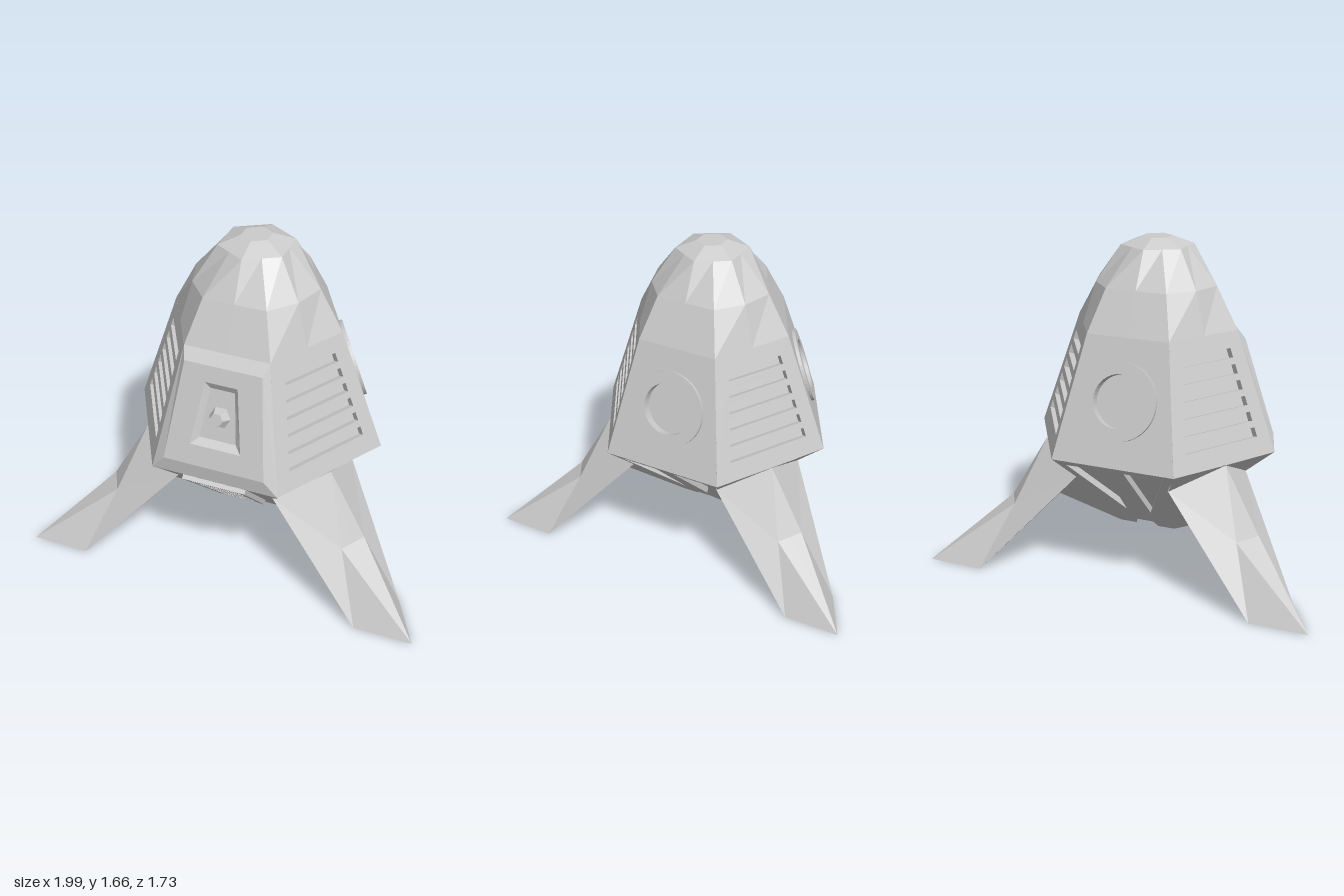
import * as THREE from 'three';

const material = new THREE.MeshStandardMaterial({ color: 0xcccccc, flatShading: true });
const AXIS_Z = 0.29, WAIST_Y = 0.64, APOTHEM = 0.545;
const UPPER_TILT = -Math.atan(0.181 / 0.595);   // hull walls lean in going up
const LOWER_TILT = Math.PI / 4;                 // belly plates lean in going down

function mesh(name, geometry) {
  const m = new THREE.Mesh(geometry, material);
  m.name = name;
  return m;
}

function outline(points, Type = THREE.Shape) {
  return new Type(points.map(([x, y]) => new THREE.Vector2(x, y)));
}

// Symmetric four-cornered outline: half widths w0 at v0 and w1 at v1
const trapezoid = (w0, v0, w1, v1) => [[-w0, v0], [w0, v0], [w1, v1], [-w1, v1]];

function circle(Type, radius, v) {
  const path = new Type();
  path.absarc(0, v, radius, 0, Math.PI * 2);
  return path;
}

// Extruded plate whose local z runs from zBack to zFront
function plate(name, shape, holes, zBack, zFront) {
  shape.holes.push(...holes);
  const geo = new THREE.ExtrudeGeometry(shape, { depth: zFront - zBack, bevelEnabled: false, curveSegments: 24 });
  geo.translate(0, 0, zBack);
  return mesh(name, geo);
}

// Wall with cut-outs, backed by a recessed floor
function recessedWall(name, points, holes) {
  const g = new THREE.Group();
  g.name = name;
  const floor = mesh(name + 'Floor', new THREE.ShapeGeometry(outline(points)));
  floor.position.z = -0.03;
  g.add(plate(name + 'Plate', outline(points), holes, -0.04, 0), floor);
  return g;
}

function triangles(list) {
  const geo = new THREE.BufferGeometry();
  geo.setAttribute('position', new THREE.Float32BufferAttribute(list.flat(), 3));
  geo.computeVertexNormals();
  return geo;
}

// Skin over matching loops of points, closed by a cap on the last loop
function loft(rings) {
  const list = [], n = rings[0].length;
  for (let i = 0; i < rings.length - 1; i++) {
    for (let j = 0; j < n; j++) {
      const k = (j + 1) % n, a = rings[i], b = rings[i + 1];
      list.push(a[j], a[k], b[k], a[j], b[k], b[j]);
    }
  }
  const last = rings[rings.length - 1];
  for (let j = 1; j < n - 1; j++) list.push(last[0], last[j], last[j + 1]);
  return triangles(list);
}

// Faceted nose: radii cycle through plain face, corner, vented face, corner
function makeDome() {
  const ring = (y, plain, corner, vented) => Array.from({ length: 12 }, (_, i) => {
    const a = i * Math.PI / 6;
    const r = i % 2 ? corner : (i % 4 === 0 ? plain : vented);
    return [Math.sin(a) * r, y, Math.cos(a) * r];
  });
  return mesh('dome', loft([
    ring(1.235, 0.364, 0.42, 0.364),
    ring(1.44, 0.27, 0.31, 0.30),
    ring(1.62, 0.18, 0.156, 0.18),
    ring(1.66, 0.075, 0.065, 0.075),
  ]));
}

// Leg pointing along +z, with the small gusset up to the waist
function makeLeg() {
  const list = [];
  for (const s of [1, -1]) {
    const A = [0, 0.64, 0.55], B = [s * 0.245, 0.52, 0.42], C = [s * 0.07, 0.32, 0.72];
    const D = [s * 0.145, 0, 0.905], E = [0, 0, 1.15], F = [0, 0.345, 0.48];
    const P = [s * 0.315, 0.64, 0.545], C0 = [0, 0.32, 0.72], D0 = [0, 0, 0.905];
    const half = [
      [A, C0, C], [E, C, C0], [A, C, B], [B, C, D], [C, E, D],
      [E, D0, D], [F, D, D0], [B, D, F], [A, B, F], [A, B, P],
    ];
    for (const t of half) list.push(...(s > 0 ? t : [t[0], t[2], t[1]]));
  }
  return mesh('leg', triangles(list));
}

// Raised front door with bevelled edge, sunken centre and hexagonal knob
function makeDoor() {
  const g = new THREE.Group();
  g.name = 'door';
  const ring = (w0, v0, w1, v1, z) => trapezoid(w0, v0, w1, v1).map(([x, y]) => [x, y, z]);
  g.add(mesh('doorPanel', loft([
    ring(0.315, 0, 0.21, 0.622, 0),
    ring(0.25, 0.07, 0.19, 0.56, 0.028),
    ring(0.125, 0.17, 0.08, 0.48, 0.028),
    ring(0.09, 0.205, 0.06, 0.45, 0.004),
  ])));
  const knob = mesh('doorKnob', new THREE.CylinderGeometry(0.032, 0.054, 0.045, 6));
  knob.rotation.set(Math.PI / 2, Math.PI / 6, 0);
  knob.position.set(0, 0.32, 0.024);
  g.add(knob);
  return g;
}

const wallOutline = trapezoid(0.315, 0, 0.21, 0.622);

// Hull wall with six horizontal louvres
function makeVentWall() {
  const slots = [];
  for (let i = 0; i < 6; i++) {
    const v = 0.095 + i * 0.08, w = 0.222 - i * 0.0135;
    slots.push(outline(trapezoid(w, v, w - 0.007, v + 0.047), THREE.Path));
  }
  return recessedWall('ventWall', wallOutline, slots);
}

// Hull wall with a round, ringed window
function makeWindowWall() {
  const g = recessedWall('windowWall', wallOutline, [circle(THREE.Path, 0.13, 0.32)]);
  g.add(plate('windowRing', circle(THREE.Shape, 0.19, 0.32), [circle(THREE.Path, 0.13, 0.32)], 0, 0.016));
  return g;
}

// Belly plate, notched at its lower edge
const bellyOutline = [
  [-0.06, -0.65], [-0.045, -0.6], [0.045, -0.6], [0.06, -0.65], [0.147, -0.65], [0.425, -0.417],
  [0.24, -0.168], [0.315, 0], [-0.315, 0], [-0.24, -0.168], [-0.425, -0.417], [-0.147, -0.65],
];

function makeTriangleBelly() {
  const holes = [1, -1].map(s => outline([[s * 0.25, -0.04], [s * 0.05, -0.04], [s * 0.065, -0.48]], THREE.Path));
  return recessedWall('bellyPlate', bellyOutline, holes);
}

// Front belly plate carrying a ladder-like hatch
function makeHatchBelly() {
  const slots = () => [-0.05, -0.115, -0.225, -0.335].map((v, i) => {
    const w = 0.125 - i * 0.008;
    return outline(trapezoid(w - 0.004, v - (i ? 0.05 : 0.02), w, v + 0.012), THREE.Path);
  });
  const g = recessedWall('hatchBelly', bellyOutline, slots());
  const frame = outline([
    [-0.12, -0.467], [-0.1, -0.467], [-0.09, -0.405], [0.09, -0.405],
    [0.1, -0.467], [0.12, -0.467], [0.157, -0.005], [-0.157, -0.005],
  ]);
  g.add(plate('hatchFrame', frame, slots(), 0, 0.022));
  return g;
}

export function createModel() {
  const model = new THREE.Group();
  model.name = 'landerCapsule';
  model.position.z = 0;
  const body = new THREE.Group();
  body.name = 'body';
  body.position.z = AXIS_Z;
  model.add(body);

  // Mount a part on the hull side facing the given heading in degrees
  const mount = (part, degrees, tilt) => {
    const side = new THREE.Group();
    side.name = part.name + 'Side';
    side.rotation.y = THREE.MathUtils.degToRad(degrees);
    if (tilt !== undefined) {
      part.position.set(0, WAIST_Y, APOTHEM);
      part.rotation.x = tilt;
    }
    side.add(part);
    body.add(side);
  };

  body.add(makeDome());
  mount(makeDoor(), 0, UPPER_TILT);
  mount(makeHatchBelly(), 0, LOWER_TILT);
  for (const a of [60, 180, 300]) {
    mount(makeVentWall(), a, UPPER_TILT);
    mount(makeLeg(), a);
  }
  for (const a of [120, 240]) {
    mount(makeWindowWall(), a, UPPER_TILT);
    mount(makeTriangleBelly(), a, LOWER_TILT);
  }

  // Triangular floor inside the lower rim
  const base = mesh('baseFloor', new THREE.CylinderGeometry(0.2, 0.2, 0.01, 3));
  base.rotation.y = Math.PI;
  base.position.y = 0.22;
  body.add(base);
  return model;
}
